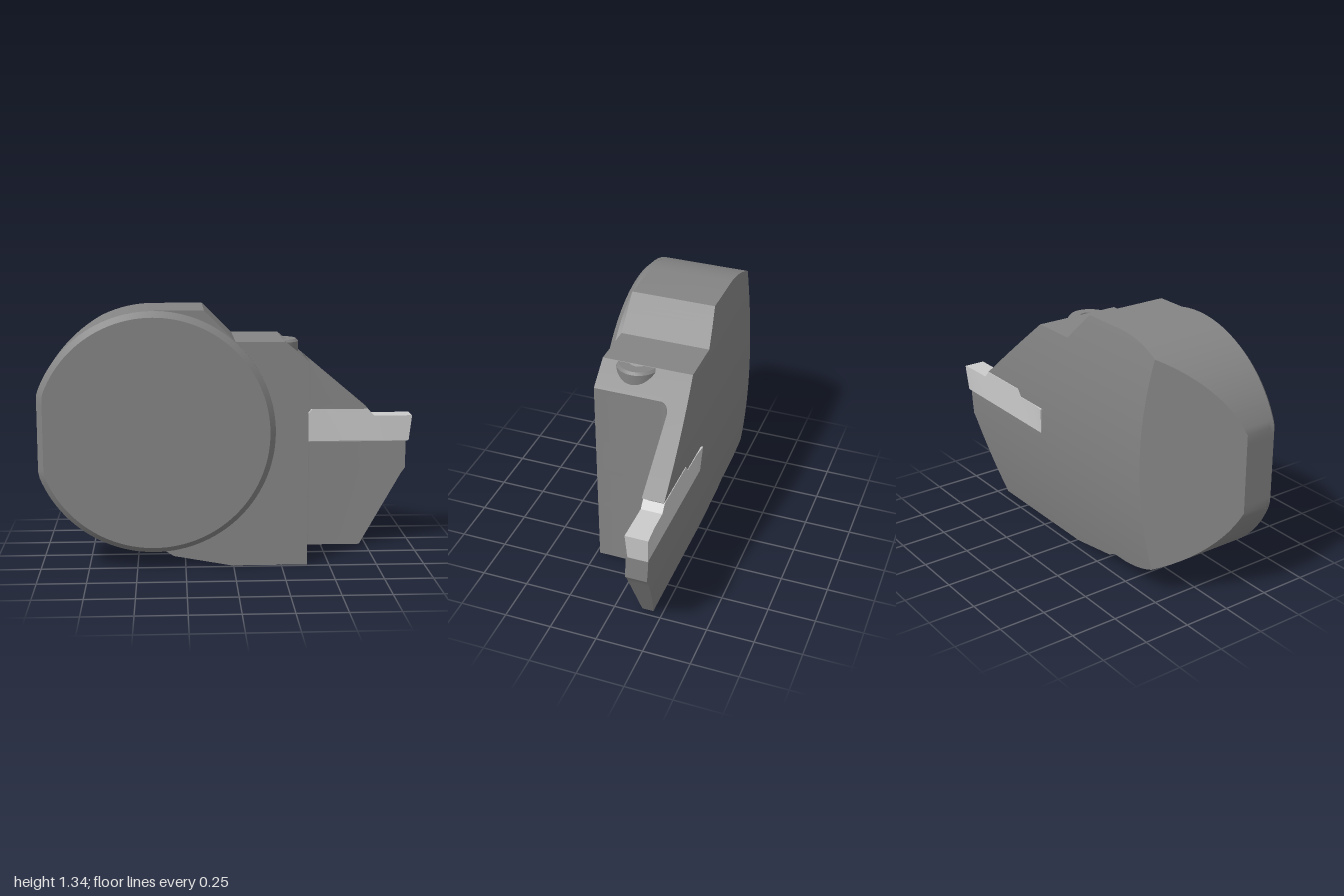
import * as THREE from 'three';
import { toCreasedNormals } from 'three/addons/utils/BufferGeometryUtils.js';

const steel = new THREE.MeshStandardMaterial({ color: 0x848484 });
const carbide = new THREE.MeshStandardMaterial({ color: 0xcccccc });
const CX = -0.41, CY = 0.71, R = 0.625; // round flange
const FRONT = 0.232, WALL = 0.385, FILLET = 0.05;
const SLOT_LOW = 0.578, SLOT_MID = 0.72, SLOT_TOP = 0.757; // insert seat

// Skin a stack of rings (ascending along the axis) and close both ends
function loft(name, rings, axis, material) {
  const [u, v] = { x: ['y', 'z'], y: ['z', 'x'], z: ['x', 'y'] }[axis];
  const flat = ring => ring.map(p => new THREE.Vector2(p[u], p[v]));
  if (THREE.ShapeUtils.isClockWise(flat(rings[0]))) rings.forEach(r => r.reverse());
  const out = [];
  const tri = (a, b, c) => {
    const area = b.clone().sub(a).cross(c.clone().sub(a)).length();
    if (area > 1e-9) out.push(...a.toArray(), ...b.toArray(), ...c.toArray());
  };
  const n = rings[0].length;
  for (let i = 0; i < rings.length - 1; i++) {
    for (let j = 0; j < n; j++) {
      const k = (j + 1) % n;
      const a = rings[i][j], b = rings[i][k], c = rings[i + 1][k], d = rings[i + 1][j];
      tri(a, b, c);
      tri(a, c, d);
    }
  }
  const first = rings[0], last = rings[rings.length - 1];
  THREE.ShapeUtils.triangulateShape(flat(first), []).forEach(([a, b, c]) => tri(first[c], first[b], first[a]));
  THREE.ShapeUtils.triangulateShape(flat(last), []).forEach(([a, b, c]) => tri(last[a], last[b], last[c]));
  const geometry = new THREE.BufferGeometry();
  geometry.setAttribute('position', new THREE.Float32BufferAttribute(out, 3));
  const mesh = new THREE.Mesh(toCreasedNormals(geometry, 0.45), material);
  mesh.name = name;
  return mesh;
}

// Left and right limits of the body at height y
function leftEdge(y) {
  if (y <= 0.055) return -0.01 - 0.3 * y / 0.055;
  if (y <= 0.085) return -0.31 - 0.05 * (y - 0.055) / 0.03;
  return Math.max(-1, CX - Math.sqrt(Math.max(0, R * R - (y - CY) ** 2)));
}

function rightEdge(y) {
  if (y < 0.43) return 0.715 + 0.245 * y / 0.43;
  if (y < SLOT_LOW) return 0.965;
  if (y < SLOT_TOP) return 0.757;
  if (y < 1.175) return 0.26 + (1.175 - y) * 1.19;
  return 0.01 - (y - 1.175);
}

// Horizontal section: thick block, filleted wall, thin blade, bowed back, bevelled corner
function bodyRing(y) {
  const xl = leftEdge(y), xr = rightEdge(y);
  const back = -0.275 + (y - CY) ** 2 / 6.72;
  const blade = y > SLOT_LOW && y < SLOT_TOP ? -0.19 : -0.14 - 0.028 * y;
  const fillet = y > SLOT_LOW && y < SLOT_MID ? 0.002 : FILLET;
  const sweep = Math.acos(THREE.MathUtils.clamp(1 - (xr - WALL) / fillet, 0, 1));
  const pts = [[xl, FRONT], [Math.min(WALL, xr), FRONT]];
  for (let i = 0; i <= 8; i++) {
    const t = i / 8 * sweep;
    if (xr <= WALL) pts.push([xr, FRONT]);
    else pts.push([WALL + fillet * (1 - Math.cos(t)), blade + fillet * (1 - Math.sin(t))]);
  }
  pts.push([xr, pts[pts.length - 1][1]]);
  pts.push([xr, back]);
  pts.push([Math.max(xl, -0.915 - back), back]);
  pts.push([xl, Math.max(back, -0.915 - xl)]);
  return pts.map(([x, z]) => new THREE.Vector3(x, y, z));
}

function makeBody() {
  const e = 0.0004;
  const ys = [0, 0.028, 0.055, 0.085, 0.43, 0.504, 0.916, 1.03, 1.04, 1.05, 1.058, 1.065];
  for (const y of [SLOT_LOW, SLOT_MID, SLOT_TOP, 1.07, 1.175]) ys.push(y - e, y + e);
  for (let i = 1; i <= 48; i++) ys.push(CY - R * Math.cos(i / 48 * Math.PI));
  ys.sort((a, b) => a - b);
  return loft('toolBody', ys.map(bodyRing), 'y', steel);
}

// Round front flange with a bevelled rim and a flat on one side
function makeFlange() {
  const rings = [[FRONT, R], [0.254, R], [0.284, 0.595]].map(([z, r]) => {
    const ring = [];
    for (let i = 0; i < 120; i++) {
      const a = i / 120 * Math.PI * 2;
      ring.push(new THREE.Vector3(Math.max(CX + r * Math.cos(a), CX - r + 0.035), CY + r * Math.sin(a), z));
    }
    return ring;
  });
  return loft('frontFlange', rings, 'z', steel);
}

// Double-ended cutting insert: x at top, x at bottom, top, back z
function makeInsert() {
  const rings = [
    [0.21, 0.225, 0.72, -0.286],
    [0.28, 0.28, 0.72, -0.279],
    [0.42, 0.42, 0.72, -0.278],
    [0.45, 0.45, 0.757, -0.278],
    [0.755, 0.755, 0.757, -0.278],
    [0.79, 0.79, 0.718, -0.278],
    [0.9, 0.9, 0.718, -0.279],
    [1.0, 0.985, 0.718, -0.286],
  ].map(([xt, xb, top, back]) => [
    new THREE.Vector3(xb, 0.577, -0.174),
    new THREE.Vector3(xt, top, -0.168),
    new THREE.Vector3(xt, top, back),
    new THREE.Vector3(xb, 0.577, Math.max(back, -0.277)),
  ]);
  return loft('cuttingInsert', rings, 'x', carbide);
}

// Clamp screw head sunk in the sloping shoulder
function makeScrew() {
  const profile = [[0, 1.0], [0.115, 1.0], [0.115, 1.16], [0.103, 1.173], [0.05, 1.173], [0.045, 1.14], [0, 1.14]]
    .map(([r, y]) => new THREE.Vector2(r, y));
  const mesh = new THREE.Mesh(toCreasedNormals(new THREE.LatheGeometry(profile, 40), 0.45), steel);
  mesh.position.set(0.23, 0, 0.05);
  mesh.name = 'clampScrew';
  return mesh;
}

export function createModel() {
  const group = new THREE.Group();
  group.name = 'groovingToolHead';
  group.add(makeBody(), makeFlange(), makeInsert(), makeScrew());
  return group;
}
